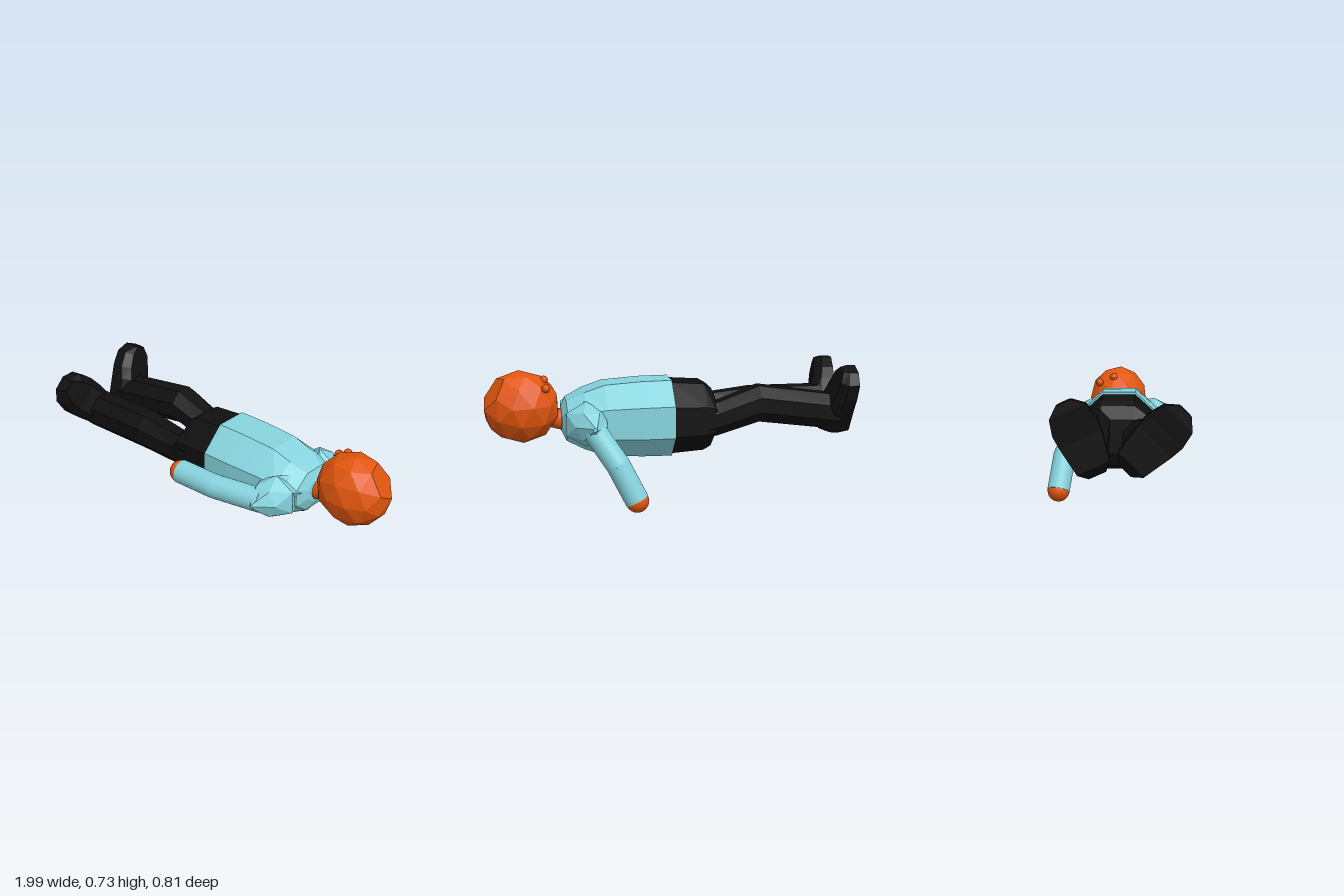
import * as THREE from 'three';

const V = (x, y, z) => new THREE.Vector3(x, y, z);
const paint = (color, flatShading) =>
  new THREE.MeshStandardMaterial({ color, flatShading });
const cloth = paint(0x86d3dd, true), sleeve = paint(0x86d3dd, false);
const trousers = paint(0x101010, true);
const skin = paint(0xe2560e, true), smoothSkin = paint(0xe2560e, false);

// Closed faceted skin through a row of rings, turned outwards by its volume
function loft(rings) {
  const n = rings[0].length, tris = [];
  const centre = r => r.reduce((a, p) => a.add(p), V(0, 0, 0)).divideScalar(n);
  const first = rings[0], last = rings[rings.length - 1];
  for (let j = 0; j < n; j++) {
    const k = (j + 1) % n;
    for (let i = 0; i + 1 < rings.length; i++) {
      const a = rings[i], b = rings[i + 1];
      tris.push([a[j], a[k], b[k]], [a[j], b[k], b[j]]);
    }
    tris.push([centre(first), first[k], first[j]], [centre(last), last[j], last[k]]);
  }
  const volume = tris.reduce((s, [a, b, c]) => s + a.dot(b.clone().cross(c)), 0);
  if (volume < 0) tris.forEach(t => t.reverse());
  const g = new THREE.BufferGeometry().setFromPoints(tris.flat());
  g.computeVertexNormals();
  return g;
}

// Octagon across x with flats on top, bottom and sides
function ringX(x, y, z, ry, rz) {
  const k = 1 / Math.cos(Math.PI / 8);
  return Array.from({ length: 8 }, (_, i) => {
    const a = (i + 0.5) * Math.PI / 4;
    return V(x, y + Math.cos(a) * ry * k, z + Math.sin(a) * rz * k);
  });
}

export function createModel() {
  const model = new THREE.Group();
  const add = (name, geometry, material, at) => {
    const mesh = new THREE.Mesh(geometry, material);
    mesh.name = name;
    if (at) mesh.position.copy(at);
    model.add(mesh);
    return mesh;
  };
  const rod = (name, a, b, r, material) => {
    const d = b.clone().sub(a);
    const m = add(name, new THREE.CylinderGeometry(r, r, d.length(), 32), material,
      a.clone().add(b).multiplyScalar(0.5));
    m.quaternion.setFromUnitVectors(V(0, 1, 0), d.normalize());
  };

  // Shirt, pelvis: x, half height, half depth
  add('torso', loft([
    [-0.015, 0.208, 0.218], [0.15, 0.206, 0.222], [0.35, 0.192, 0.215],
    [0.46, 0.155, 0.21], [0.555, 0.11, 0.15], [0.58, 0.06, 0.08],
  ].map(([x, ry, rz]) => ringX(x, 0.445, 0.005, ry, rz))), cloth);
  add('pelvis', loft([
    [-0.26, 0.09, 0.2], [-0.23, 0.16, 0.21], [-0.19, 0.183, 0.212], [-0.015, 0.195, 0.215],
  ].map(([x, ry, rz]) => ringX(x, 0.445, 0.005, ry, rz))), trousers);

  // Pointed shoulders: outward distance, x centre, radius
  for (const s of [1, -1]) {
    const rings = [[0.06, 0.46, 0.11], [0.18, 0.46, 0.122], [0.27, 0.44, 0.085], [0.345, 0.43, 0.012]]
      .map(([d, cx, r], i) => Array.from({ length: 6 }, (_, j) => {
        const a = (j + (i % 2) / 2) * Math.PI / 3;
        return V(cx + Math.cos(a) * r, 0.445 + Math.sin(a) * r, 0.02 + s * d);
      }));
    add(s > 0 ? 'nearShoulder' : 'farShoulder', loft(rings), cloth);
  }

  // Arms: shoulder, elbow, wrist
  const arms = {
    near: [V(0.43, 0.445, 0.285), V(0.15, 0.445, 0.335), V(-0.08, 0.445, 0.335)],
    far: [V(0.43, 0.43, -0.235), V(0.31, 0.25, -0.315), V(0.215, 0.062, -0.345)],
  };
  for (const [side, [a, b, c]] of Object.entries(arms)) {
    rod(side + 'UpperArm', a, b, 0.064, sleeve);
    rod(side + 'Forearm', b, c, 0.064, sleeve);
    add(side + 'Elbow', new THREE.SphereGeometry(0.064, 32, 16), sleeve, b);
    add(side + 'Hand', new THREE.SphereGeometry(0.062, 32, 16), smoothSkin, c);
  }

  // Legs: x, y, z, half height, half depth; the far knee is raised
  add('nearLeg', loft([
    [-0.92, 0.467, 0.138, 0.098, 0.1], [-0.5, 0.467, 0.138, 0.098, 0.1],
    [-0.26, 0.447, 0.143, 0.09, 0.078], [-0.15, 0.445, 0.14, 0.09, 0.078],
  ].map(p => ringX(...p))), trousers);
  add('farLeg', loft([
    [-0.92, 0.465, -0.128, 0.095, 0.098], [-0.48, 0.525, -0.128, 0.098, 0.098],
    [-0.25, 0.447, -0.125, 0.09, 0.085], [-0.15, 0.43, -0.12, 0.09, 0.085],
  ].map(p => ringX(...p))), trousers);

  // Feet: distance from ankle, sole x, upper x, half width
  const foot = (name, y, z, angle, scale) => {
    const s = Math.sin(angle), c = Math.cos(angle);
    add(name, loft([
      [-0.125, -0.945, -0.88, 0.045], [-0.08, -0.985, -0.82, 0.085], [0.08, -0.985, -0.86, 0.11],
      [0.15, -0.99, -0.885, 0.115], [0.235, -1, -0.905, 0.095], [0.285, -1, -0.92, 0.04],
    ].map(([u, x0, x1, w]) => {
      const at = (x, v) => V(x, y + c * u * scale - s * v, z + s * u * scale + c * v);
      const mid = x0 + (x1 - x0) * 0.6;
      return [at(x0, -w), at(x0, w), at(mid, w), at(x1, w * 0.65), at(x1, -w * 0.65), at(mid, -w)];
    })), trousers);
  };
  foot('nearFoot', 0.47, 0.14, 0.785, 1);
  foot('farFoot', 0.465, -0.125, -0.42, 0.95);

  // Faceted head with a flat pentagon at the crown
  const head = new THREE.IcosahedronGeometry(1, 1);
  const corner = V(0, 1, (1 + Math.sqrt(5)) / 2).normalize();
  const turn = new THREE.Quaternion().setFromUnitVectors(corner, V(0.84, 0.5, -0.2).normalize());
  const pos = head.attributes.position, p = V(0, 0, 0);
  for (let i = 0; i < pos.count; i++) {
    p.fromBufferAttribute(pos, i);
    if (p.dot(corner) > 0.99) p.multiplyScalar(0.851);
    p.applyQuaternion(turn).multiply(V(0.208, 0.197, 0.173));
    pos.setXYZ(i, p.x, p.y, p.z);
  }
  head.computeVertexNormals();
  add('head', head, skin, V(0.793, 0.522, -0.015));
  rod('neck', V(0.55, 0.435, 0), V(0.67, 0.47, -0.005), 0.055, smoothSkin);
  add('nearEye', new THREE.IcosahedronGeometry(0.024, 1), skin, V(0.672, 0.668, -0.04));
  add('farEye', new THREE.IcosahedronGeometry(0.024, 1), skin, V(0.668, 0.636, -0.125));

  return model;
}
